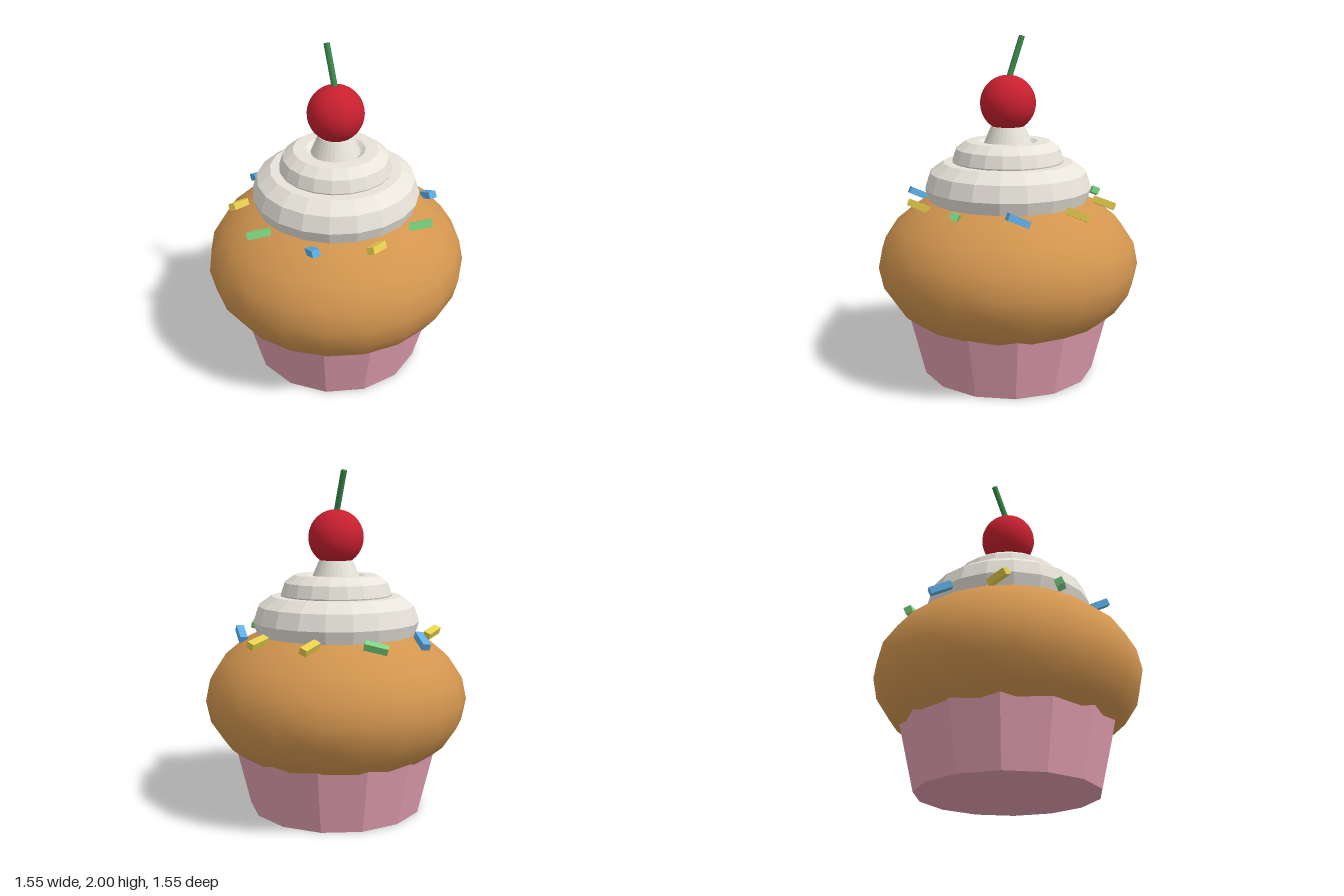
import * as THREE from 'three';

function material(name, color, flatShading = false) {
  const m = new THREE.MeshStandardMaterial({ color, flatShading });
  m.name = name;
  return m;
}

export function createModel() {
  const group = new THREE.Group();
  group.name = 'cupcake';

  const pink = material('wrapper pink', 0xe3a0b1, true);
  const sponge = material('sponge brown', 0xd2954f);
  const cream = material('cream white', 0xf0ece2, true);
  const red = material('cherry red', 0xc8202f);
  const stemGreen = material('stem green', 0x3a8a4c);
  const yellow = material('sprinkle yellow', 0xe8d04e);
  const green = material('sprinkle green', 0x7dd782);
  const blue = material('sprinkle blue', 0x5fb0e8);

  function add(name, geometry, mat, x, y, z) {
    const mesh = new THREE.Mesh(geometry, mat);
    mesh.name = name;
    mesh.position.set(x, y, z);
    group.add(mesh);
    return mesh;
  }

  // Tapered paper wrapper, a flat facet facing the front
  const wrapper = add('wrapper', new THREE.CylinderGeometry(0.63, 0.52, 0.45, 14), pink, 0, 0.225, 0);
  wrapper.rotation.y = Math.PI / 14;

  // Squashed sponge dome
  const dome = add('spongeDome', new THREE.SphereGeometry(0.777, 20, 12), sponge, 0, 0.665, 0);
  dome.scale.y = 0.49 / 0.777;

  // Two piped cream rings and the peak
  for (const [name, radius, tube, y] of [
    ['lowerCreamRing', 0.335, 0.158, 1.122],
    ['upperCreamRing', 0.21, 0.12, 1.28],
  ]) {
    add(name, new THREE.TorusGeometry(radius, tube, 10, 20).rotateX(-Math.PI / 2), cream, 0, y, 0);
  }
  add('creamPeak', new THREE.CylinderGeometry(0.1, 0.175, 0.18, 32), cream, 0, 1.39, 0);

  // Cherry with its leaning stem
  add('cherry', new THREE.SphereGeometry(0.163, 32, 20), red, 0, 1.613, 0);
  const stem = add('cherryStem', new THREE.CylinderGeometry(0.018, 0.018, 0.3, 8), stemGreen, 0, 1.854, -0.042);
  stem.rotation.x = -0.35;

  // Sprinkles around the cream: colour, x, z, yaw
  const sprinkle = new THREE.BoxGeometry(0.13, 0.04, 0.045);
  for (const [mat, x, z, yaw] of [
    [blue, -0.267, -0.51, -1.75],
    [green, 0.08, -0.58, -0.57],
    [yellow, 0.392, -0.417, 0.5],
    [yellow, 0.558, -0.113, 0.45],
    [blue, 0.508, 0.238, -1.75],
    [green, 0.263, 0.487, -0.62],
    [yellow, -0.08, 0.546, 0.45],
    [blue, -0.396, 0.396, -1.75],
    [green, -0.558, 0.083, -0.57],
    [yellow, -0.51, -0.262, 0.48],
  ]) {
    add('sprinkle', sprinkle, mat, x, 1.047, z).rotation.set(-0.45, yaw, 0);
  }

  return group;
}
